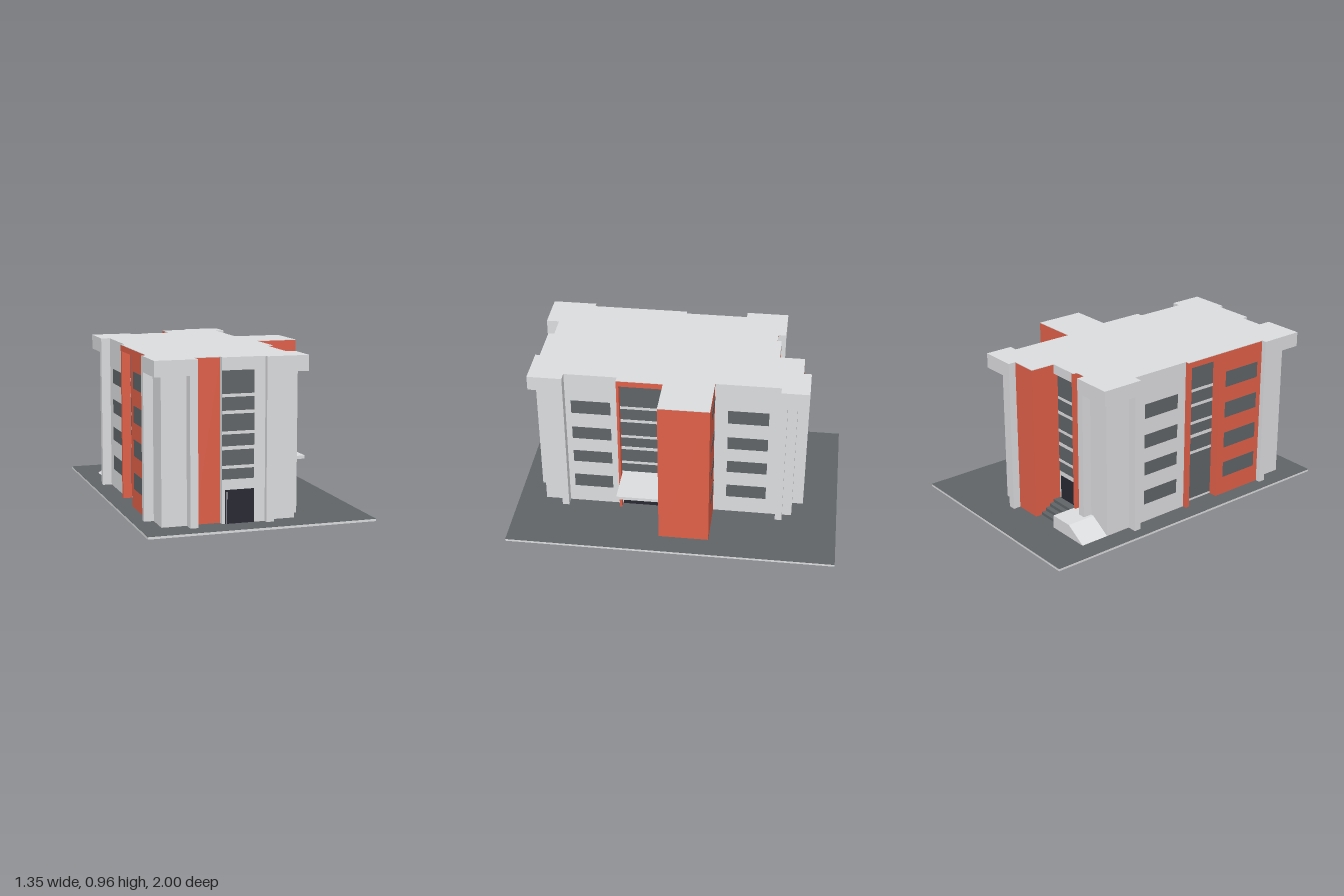
import * as THREE from 'three';

const mat = (name, color) => {
  const m = new THREE.MeshStandardMaterial({ color });
  m.name = name;
  return m;
};

export function createModel() {
  const model = new THREE.Group();
  model.name = 'building';
  const grey = mat('light grey', 0xdbdcde);
  const red = mat('brick red', 0xdf6048);
  const dark = mat('dark grey', 0x606467);
  const black = mat('door black', 0x282832);

  const add = (name, geometry, material) => {
    const mesh = new THREE.Mesh(geometry, material);
    mesh.name = name;
    model.add(mesh);
    return mesh;
  };
  // Box given by its limits on each axis
  const box = (name, material, x0, x1, y0, y1, z0, z1) =>
    add(name, new THREE.BoxGeometry(x1 - x0, y1 - y0, z1 - z0), material)
      .position.set((x0 + x1) / 2, (y0 + y1) / 2, (z0 + z1) / 2);
  // Floor plan of (x, z) points raised from y0 to y1
  const plan = (name, material, points, y0, y1) => {
    const shape = new THREE.Shape(points.map(([x, z]) => new THREE.Vector2(x, -z)));
    const g = new THREE.ExtrudeGeometry(shape, { depth: y1 - y0, bevelEnabled: false });
    g.rotateX(-Math.PI / 2);
    g.translate(0, y0, 0);
    return add(name, g, material);
  };

  const G = 0.015, TOP = 0.958, R = 0.955;

  // Light ground slab with dark paving on top
  box('groundSlab', grey, -0.675, 0.675, 0, 0.0135, -1, 1);
  box('groundTop', dark, -0.675, 0.675, 0.0135, G, -1, 1);

  // Main walls
  plan('walls', grey, [
    [-0.55, 0.83], [-0.357, 0.83], [-0.357, 0.81], [-0.205, 0.81], [-0.205, 0.855], [0.05, 0.855],
    [0.05, 0.83], [0.24, 0.83], [0.24, -0.72], [-0.09, -0.72], [-0.09, -0.56], [-0.55, -0.56],
    [-0.55, 0.04], [-0.52, 0.04], [-0.52, 0.28], [-0.55, 0.28],
  ], G, R);

  // Thin roof over the whole outline
  plan('roof', grey, [
    [-0.606, 0.898], [-0.357, 0.898], [-0.357, 0.82], [-0.205, 0.82], [-0.205, 0.857], [0.05, 0.857],
    [0.05, 0.885], [0.298, 0.885], [0.298, 0.675], [0.242, 0.675], [0.242, 0.355], [0.28, 0.355],
    [0.28, 0.075], [0.537, 0.075], [0.537, -0.23], [0.242, -0.23], [0.242, -0.62], [0.295, -0.62],
    [0.295, -0.788], [0.07, -0.788], [0.07, -0.742], [-0.095, -0.742], [-0.095, -0.59], [-0.285, -0.59],
    [-0.285, -0.565], [-0.355, -0.565], [-0.355, -0.615], [-0.606, -0.615], [-0.606, -0.355], [-0.552, -0.355],
    [-0.552, 0.03], [-0.575, 0.03], [-0.575, 0.625], [-0.606, 0.625],
  ], R, TOP);

  // Corners: overhanging cap on two pilasters; (ox, oz) outer corner, (ix, iz) inner corner
  const corners = [
    [-0.606, 0.898, -0.357, 0.625],
    [0.298, 0.885, 0.05, 0.675],
    [0.295, -0.788, 0.07, -0.62],
    [-0.606, -0.615, -0.355, -0.355],
  ];
  const span = (a, b) => [Math.min(a, b), Math.max(a, b)];
  for (const [ox, oz, ix, iz] of corners) {
    const sx = Math.sign(ox - ix), sz = Math.sign(oz - iz);
    box('cornerCap', grey, ...span(ox, ix), 0.868, R, ...span(oz, iz));
    box('endPilaster', grey, ...span(ix, ix + sx * 0.046), G, 0.868, ...span(oz, oz - sz * 0.1));
    box('sidePilaster', grey, ...span(ox, ox - sx * 0.1), G, 0.868, ...span(iz, iz + sz * 0.042));
  }

  // Red tower, panels and posts
  box('tower', red, 0.23, 0.537, G, R, -0.23, 0.075);
  box('frontRedPanel', red, -0.357, -0.205, G, R, 0.8, 0.82);
  box('backRedPanel', red, -0.095, 0.07, G, R, -0.742, -0.55);
  box('backRedPost', red, -0.285, -0.27, G, R, -0.59, -0.55);
  box('backRedStrip', red, -0.355, -0.285, G, R, -0.565, -0.55);
  box('backHeader', grey, -0.27, -0.095, 0.9, R, -0.59, -0.55);
  box('entryRedPost', red, 0.23, 0.28, G, R, 0.34, 0.355);
  box('entryHeader', red, 0.23, 0.28, 0.92, R, 0.075, 0.34);
  box('leftRedPanel', red, -0.575, -0.51, G, R, 0.275, 0.625);
  box('leftRedPost', red, -0.575, -0.51, G, R, 0.03, 0.055);
  box('leftHeader', red, -0.575, -0.51, 0.92, R, 0.055, 0.275);

  // Rows of windows, one per floor
  for (const [y0, y1] of [[0.13, 0.22], [0.32, 0.403], [0.495, 0.58], [0.682, 0.772]]) {
    box('rightWindow', dark, 0.238, 0.2415, y0, y1, 0.4, 0.64);
    box('rightWindow', dark, 0.238, 0.2415, y0, y1, -0.555, -0.31);
    box('leftWindow', dark, -0.5515, -0.548, y0, y1, -0.28, -0.03);
  }
  [0.2, 0.39, 0.59, 0.82].forEach((y, i) => {
    box('towerFrontWindow', dark, 0.24, 0.43, y, y + 0.05, 0.073, 0.0765);
    box('towerBackWindow', dark, 0.24, 0.43, y, y + 0.05, -0.2315, -0.228);
    const w = 0.13 + i * 0.2;
    box('leftPanelWindow', dark, -0.5765, -0.573, w, w + 0.1, 0.33, 0.59);
  });

  // Tall stairwell glazing with floor strips and slim rails
  const strips = [[0.438, 0.459], [0.641, 0.66]], rails = [0.34, 0.535, 0.745];
  const glazing = (name, y0, y1, put) => {
    put(name + 'Glass', dark, y0, y1, 0.0015);
    for (const [a, b] of strips) put(name + 'Strip', grey, a, b, 0.003);
    for (const y of rails) put(name + 'Rail', grey, y - 0.009, y + 0.009, 0.0025);
  };
  glazing('front', 0.27, 0.885, (n, m, a, b, t) => box(n, m, -0.205, -0.015, a, b, 0.853, 0.855 + t));
  glazing('entry', 0.27, 0.92, (n, m, a, b, t) => box(n, m, 0.238, 0.24 + t, a, b, 0.075, 0.34));
  glazing('back', 0.27, 0.885, (n, m, a, b, t) => box(n, m, -0.27, -0.095, a, b, -0.56 - t, -0.558));
  glazing('left', 0.03, 0.92, (n, m, a, b, t) => box(n, m, -0.52 - t, -0.518, a, b, 0.055, 0.275));

  // Doors, handles and entrance canopy
  box('frontDoor', black, -0.187, -0.015, G, 0.21, 0.853, 0.857);
  box('frontDoorFrame', grey, -0.179, -0.175, G, 0.2, 0.856, 0.859);
  box('entryDoor', black, 0.238, 0.242, G, 0.25, 0.08, 0.335);
  box('entryDoorHandle', grey, 0.241, 0.245, 0.08, 0.17, 0.172, 0.178);
  box('backDoor', black, -0.255, -0.11, 0.09, 0.24, -0.563, -0.558);
  box('canopy', grey, 0.23, 0.502, 0.25, 0.27, 0.075, 0.335);

  // Back steps
  for (let i = 0; i < 4; i++)
    box('backStep', dark, -0.27, -0.095, G, 0.09 - i * 0.019, -0.61 - i * 0.03, -0.555);

  // Access ramp: flat landing, then a slope down
  const rampShape = new THREE.Shape([[-0.55, G], [-0.27, G], [-0.27, 0.095], [-0.42, 0.095]]
    .map(([x, y]) => new THREE.Vector2(x, y)));
  const ramp = add('accessRamp', new THREE.ExtrudeGeometry(rampShape, { depth: 0.18, bevelEnabled: false }), grey);
  ramp.position.z = -0.74;

  return model;
}
